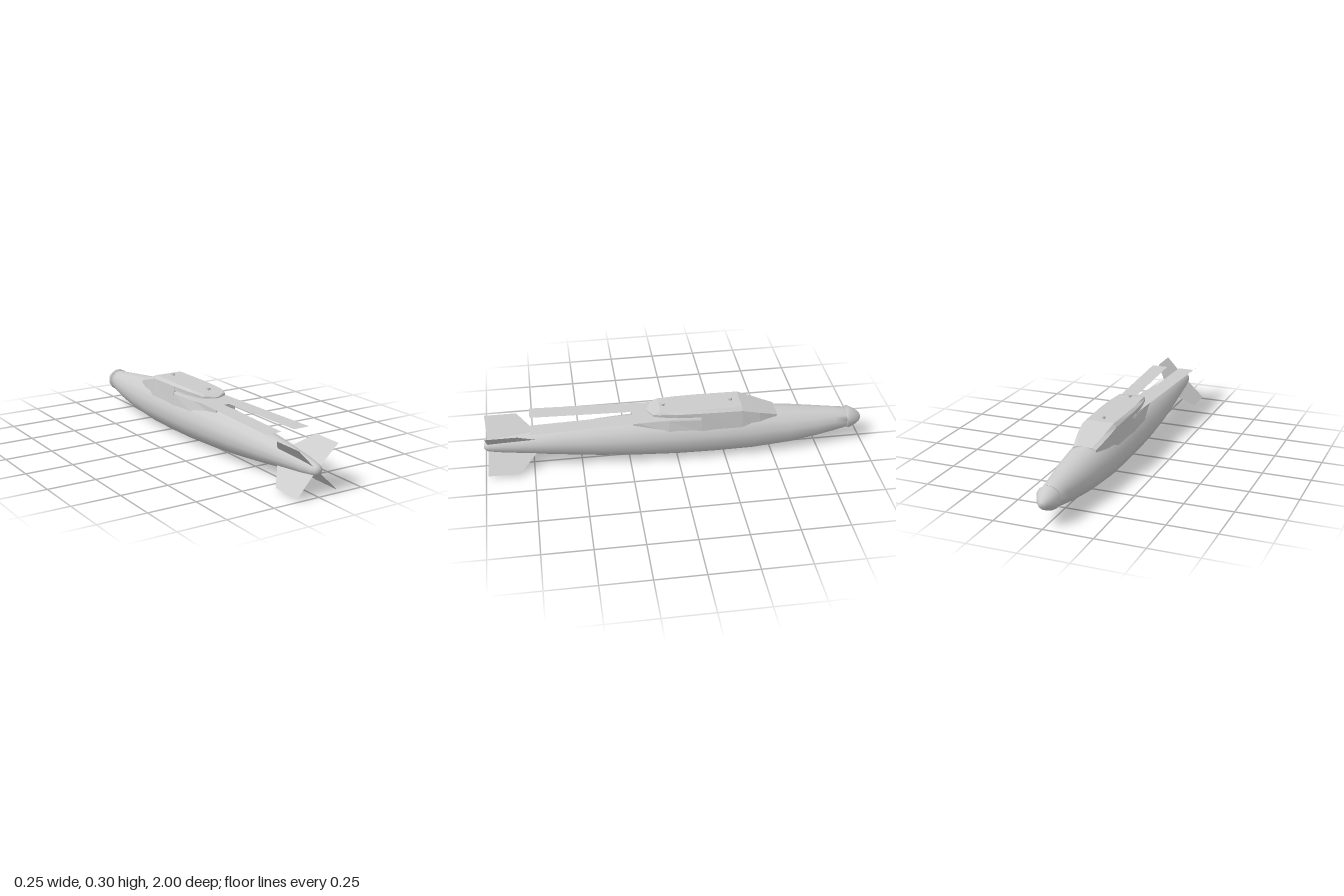
import * as THREE from 'three';

const smooth = new THREE.MeshStandardMaterial({ color: 0xcccccc });
const faceted = new THREE.MeshStandardMaterial({ color: 0xcccccc, flatShading: true });
const sheet = new THREE.MeshStandardMaterial({ color: 0xcccccc, side: THREE.DoubleSide });

// Skin a list of rings (counter-clockwise seen from +z, ordered by rising z) and cap both ends
function loft(rings) {
  const n = rings[0].length, pos = [], idx = [];
  rings.forEach(r => r.forEach(p => pos.push(...p)));
  for (let i = 0; i < rings.length - 1; i++)
    for (let j = 0; j < n; j++) {
      const a = i * n + j, b = i * n + (j + 1) % n;
      idx.push(a, b, b + n, a, b + n, a + n);
    }
  const last = (rings.length - 1) * n;
  for (let j = 1; j < n - 1; j++) {
    idx.push(0, j + 1, j);
    idx.push(last, last + j, last + j + 1);
  }
  const g = new THREE.BufferGeometry();
  g.setAttribute('position', new THREE.Float32BufferAttribute(pos, 3));
  g.setIndex(idx);
  g.computeVertexNormals();
  return g;
}

// Round ring: z, centre height, radius
function ring([z, cy, r], sides = 14) {
  return Array.from({ length: sides }, (_, k) => {
    const a = (k + 0.5) / sides * Math.PI * 2;
    return [r * Math.cos(a), cy + r * Math.sin(a), z];
  });
}

// Mirrored fairing section: z, then half width and height of bottom, shoulder and top
function section([z, wb, yb, wm, ym, wt, yt]) {
  return [[wb, yb, z], [wm, ym, z], [wt, yt, z], [-wt, yt, z], [-wm, ym, z], [-wb, yb, z]];
}

// Thin flat panel from corner points
function panel(points) {
  const g = new THREE.BufferGeometry();
  g.setAttribute('position', new THREE.Float32BufferAttribute(points.flat(), 3));
  g.setIndex([0, 1, 2, 0, 2, 3]);
  g.computeVertexNormals();
  return g;
}

export function createModel() {
  const group = new THREE.Group();
  const add = (name, geometry, material) => {
    const mesh = new THREE.Mesh(geometry, material);
    mesh.name = name;
    group.add(mesh);
    return mesh;
  };

  // Long tapered hull, nose towards -z
  add('body', loft([
    [-0.935, 0.124, 0.052], [-0.85, 0.12, 0.066], [-0.75, 0.117, 0.082], [-0.6, 0.116, 0.102],
    [-0.4, 0.12, 0.119], [-0.2, 0.121, 0.121], [0, 0.122, 0.119], [0.2, 0.124, 0.111],
    [0.4, 0.126, 0.098], [0.6, 0.127, 0.078], [0.75, 0.127, 0.061], [0.9, 0.126, 0.043],
    [0.97, 0.125, 0.031], [0.99, 0.125, 0.024], [1, 0.125, 0.012],
  ].map(r => ring(r))), smooth);

  // Nose cap with a raised collar
  add('noseCap', loft([
    [-1, 0.12, 0.01], [-0.99, 0.12, 0.026], [-0.965, 0.122, 0.044],
    [-0.93, 0.125, 0.061], [-0.915, 0.124, 0.056],
  ].map(r => ring(r, 12))), smooth);

  // Saddle fairing on the back: sloped front, low rear deck, overhanging top
  add('frontFairing', loft([
    [-0.525, 0.062, 0.17, 0.06, 0.215, 0.04, 0.224],
    [-0.43, 0.09, 0.17, 0.08, 0.245, 0.06, 0.257],
    [-0.335, 0.102, 0.17, 0.09, 0.272, 0.074, 0.29],
    [-0.12, 0.104, 0.17, 0.093, 0.278, 0.078, 0.29],
  ].map(section)), faceted);
  add('rearDeck', loft([
    [-0.121, 0.104, 0.17, 0.096, 0.24, 0.09, 0.25],
    [0.05, 0.098, 0.18, 0.085, 0.24, 0.08, 0.25],
    [0.23, 0.058, 0.195, 0.057, 0.24, 0.055, 0.25],
  ].map(section)), faceted);
  add('topFairing', loft([
    [-0.121, 0.094, 0.256, 0.093, 0.278, 0.078, 0.29],
    [0, 0.09, 0.26, 0.09, 0.28, 0.075, 0.29],
    [0.09, 0.075, 0.263, 0.076, 0.278, 0.068, 0.29],
    [0.125, 0.066, 0.265, 0.066, 0.275, 0.058, 0.281],
    [0.155, 0.008, 0.266, 0.008, 0.27, 0.006, 0.272],
  ].map(section)), faceted);

  // Suspension lugs
  for (const z of [-0.285, 0.07]) {
    const lug = add('lug', new THREE.CylinderGeometry(0.01, 0.01, 0.016, 8), faceted);
    lug.position.set(0, 0.294, z);
  }

  // Folded wings lying flat along the back
  for (const s of [-1, 1])
    add(s > 0 ? 'leftWing' : 'rightWing', panel([
      [s * 0.001, 0.253, -0.1], [s * 0.085, 0.253, -0.1],
      [s * 0.125, 0.253, 0.757], [s * 0.036, 0.253, 0.757],
    ]), sheet);

  // Four tail fins in an X
  for (const sx of [-1, 1])
    for (const sy of [-1, 1])
      add('tailFin', panel(
        [[0.035, 0.725], [0.113, 0.825], [0.113, 0.99], [0.012, 0.98]]
          .map(([d, z]) => [sx * d, 0.125 + sy * d, z])
      ), sheet);

  return group;
}
